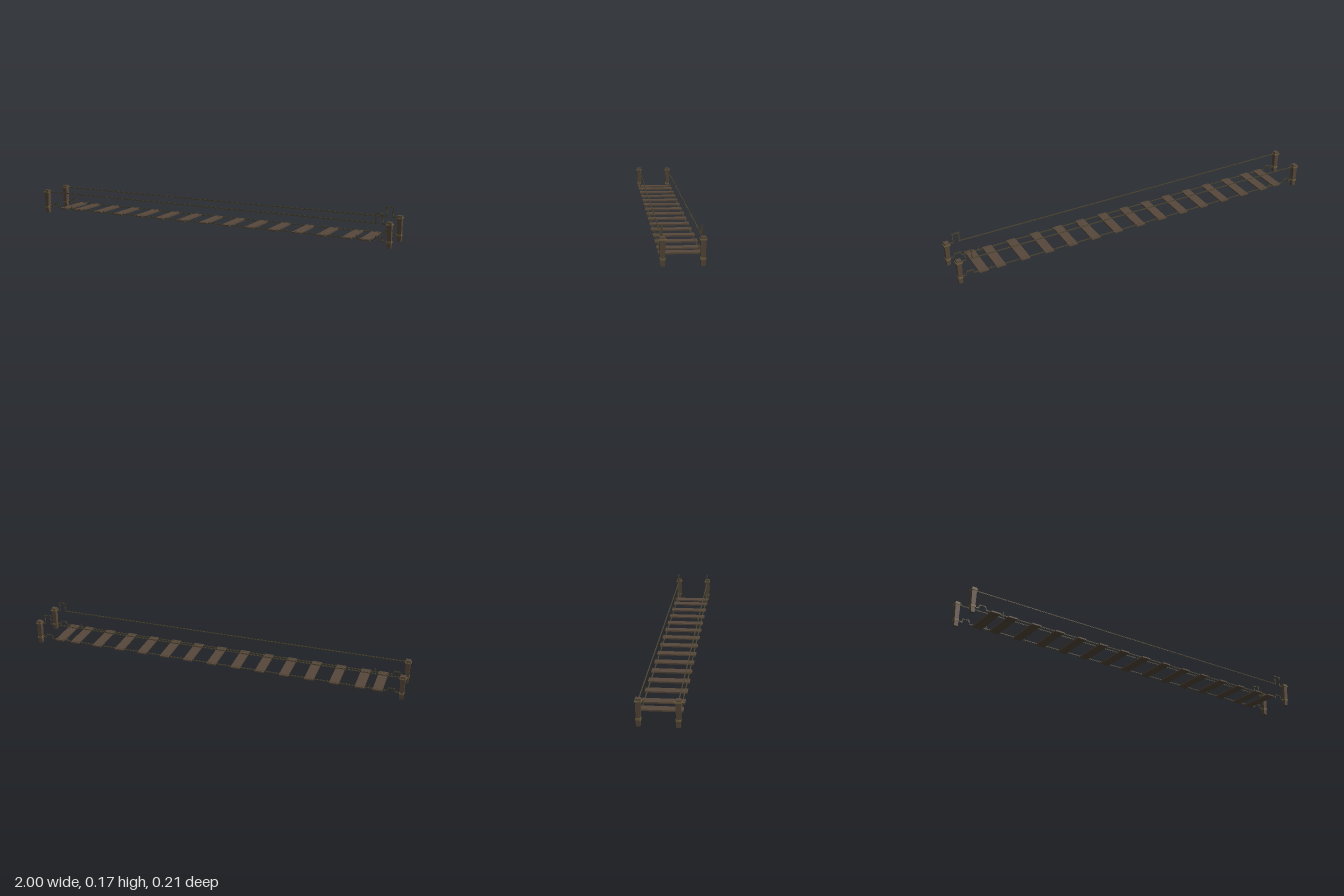
import * as THREE from 'three';
import { mergeGeometries } from 'three/addons/utils/BufferGeometryUtils.js';

const mat = (color) => new THREE.MeshStandardMaterial({ color, flatShading: true });

// Chain of flat links along [x, y] points, every other link turned a quarter
function chain(points, pitch = 0.0092) {
  const link = new THREE.BoxGeometry(0.0172, 0.0054, 0.0022);
  const links = [];
  for (let s = 1; s < points.length; s++) {
    const [x0, y0] = points[s - 1];
    const [x1, y1] = points[s];
    const count = Math.max(2, Math.round(Math.hypot(x1 - x0, y1 - y0) / pitch));
    for (let i = 0; i < count; i++) {
      const t = (i + 0.5) / count;
      const g = link.clone();
      g.rotateX((i % 2) * Math.PI / 2);
      g.rotateZ(Math.atan2(y1 - y0, x1 - x0));
      g.translate(x0 + (x1 - x0) * t, y0 + (y1 - y0) * t, 0);
      links.push(g);
    }
  }
  return mergeGeometries(links);
}

// Square block that tapers from the top width to the bottom width
function block(topWidth, bottomWidth, height) {
  const g = new THREE.CylinderGeometry(topWidth * Math.SQRT1_2, bottomWidth * Math.SQRT1_2, height, 4);
  return g.rotateY(Math.PI / 4);
}

export function createModel() {
  const root = new THREE.Group();
  const wood = mat(0x57483a);
  const brass = mat(0x6e5f3c);
  const iron = mat(0x4c4531);

  const add = (parent, name, geometry, material, x = 0, y = 0, z = 0) => {
    const mesh = new THREE.Mesh(geometry, material);
    mesh.name = name;
    mesh.position.set(x, y, z);
    parent.add(mesh);
  };

  const railZ = 0.087;
  const postX = 0.984;

  // Square corner posts with two metal bands and a cap
  for (const x of [-postX, postX]) {
    for (const z of [-railZ, railZ]) {
      const post = new THREE.Group();
      post.name = 'post';
      post.position.set(x, 0, z);
      add(post, 'postShaft', block(0.0245, 0.0195, 0.115), wood, 0, 0.0575);
      add(post, 'lowerBand', block(0.0245, 0.0245, 0.009), brass, 0, 0.032);
      add(post, 'upperBand', block(0.032, 0.032, 0.005), brass, 0, 0.1155);
      add(post, 'postCap', block(0.0245, 0.0265, 0.0105), wood, 0, 0.1227);
      root.add(post);
    }
  }

  // Deck planks, closer together at both ends
  const plank = new THREE.BoxGeometry(0.048, 0.007, 0.198);
  const spots = [0, 0.13, 0.26, 0.388, 0.518, 0.647, 0.776, 0.866];
  for (const x of spots) {
    for (const side of x ? [-1, 1] : [1]) add(root, 'plank', plank, wood, side * x, 0.0315, 0);
  }

  // Handrail chain with a raised loop near the left end
  const handrail = chain([
    [-postX, 0.117], [0.916, 0.117], [0.916, 0.164], [0.949, 0.164],
    [0.949, 0.116], [postX, 0.116],
  ]);

  // Deck chain with a hump beside each post
  const hump = [[postX, 0.033], [0.953, 0.033], [0.947, 0.05], [0.918, 0.051], [0.909, 0.033]];
  const deckChain = chain([
    ...hump.map(([x, y]) => [-x, y]),
    ...hump.slice().reverse(),
  ]);

  for (const z of [-railZ, railZ]) {
    add(root, 'handrailChain', handrail, iron, 0, 0, z);
    add(root, 'deckChain', deckChain, iron, 0, 0, z);
    // Loose link standing up from the deck chain
    for (const x of [-0.823, 0.823]) {
      add(root, 'standingLink', chain([[x, 0.032], [x, 0.048]]), iron, 0, 0, z);
    }
  }
  return root;
}
